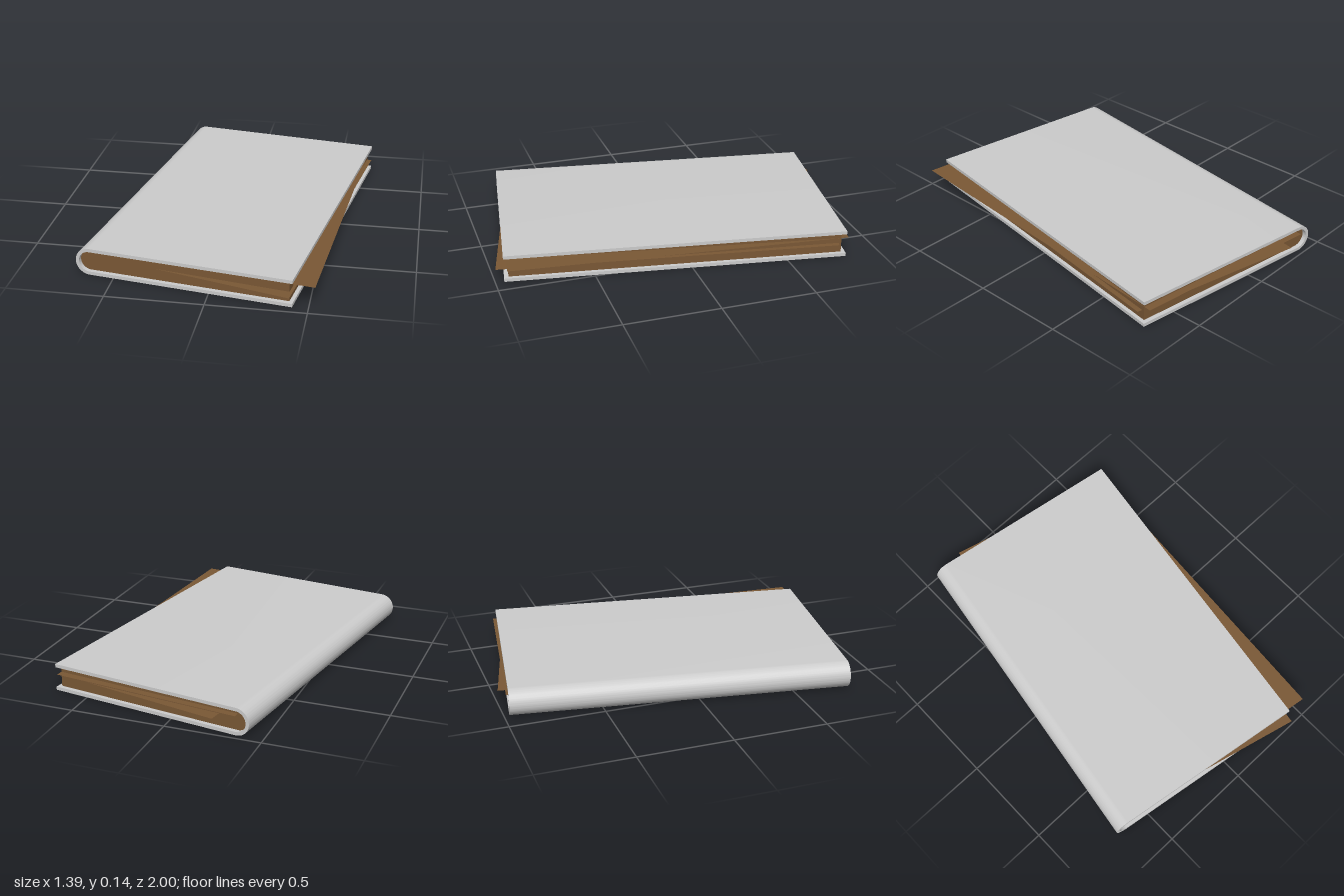
import * as THREE from 'three';
import { toCreasedNormals } from 'three/addons/utils/BufferGeometryUtils.js';

const HALF_W = 0.5665, HALF_L = 0.8925; // cover half width and half length
const R = 0.0725, T = 0.018; // spine outer radius and cover thickness

// Extrude a cross-section evenly about z = 0
function slab(shape, halfLength) {
  const geo = new THREE.ExtrudeGeometry(shape, {
    depth: halfLength * 2, bevelEnabled: false, curveSegments: 28,
  });
  geo.translate(0, 0, -halfLength);
  return toCreasedNormals(geo, 0.5);
}

// Thin four-cornered sheet: front left, front right, back right, back left
function sheet(corners) {
  const geo = new THREE.BufferGeometry();
  geo.setAttribute('position', new THREE.Float32BufferAttribute(corners.flat(), 3));
  geo.setIndex([0, 1, 2, 0, 2, 3]);
  geo.computeVertexNormals();
  return geo;
}

export function createModel() {
  const group = new THREE.Group();
  const coverGrey = new THREE.MeshStandardMaterial({ color: 0xcccccc });
  coverGrey.name = 'cover grey';
  const paperBrown = new THREE.MeshStandardMaterial({ color: 0x7a5835, side: THREE.DoubleSide });
  paperBrown.name = 'paper brown';

  const add = (parent, name, geo, mat) => {
    const mesh = new THREE.Mesh(geo, mat);
    mesh.name = name;
    parent.add(mesh);
  };

  // Closed book, turned slightly on the ground
  const book = new THREE.Group();
  book.name = 'book';
  book.position.set(-0.005, 0, -0.0125);
  book.rotation.y = -0.151;
  group.add(book);

  // Cover: two boards joined by a half-round spine
  const cx = -HALF_W + R, r = R - T;
  const cover = new THREE.Shape();
  cover.moveTo(HALF_W, 0);
  cover.lineTo(HALF_W, T);
  cover.lineTo(cx, T);
  cover.absarc(cx, R, r, -Math.PI / 2, -Math.PI * 1.5, true);
  cover.lineTo(HALF_W, 2 * R - T);
  cover.lineTo(HALF_W, 2 * R);
  cover.lineTo(cx, 2 * R);
  cover.absarc(cx, R, R, Math.PI / 2, Math.PI * 1.5, false);
  cover.lineTo(HALF_W, 0);
  add(book, 'cover', slab(cover, HALF_L), coverGrey);

  // Page block, rounded to sit in the spine and set back from the edges
  const pr = r - 0.0005;
  const pages = new THREE.Shape();
  pages.moveTo(0.547, R - pr);
  pages.lineTo(0.547, R + pr);
  pages.lineTo(cx, R + pr);
  pages.absarc(cx, R, pr, Math.PI / 2, Math.PI * 1.5, false);
  pages.lineTo(0.547, R - pr);
  add(book, 'pageBlock', slab(pages, 0.87), paperBrown);

  // Loose sheets slipping out of the block
  add(group, 'upperLooseSheet', sheet([
    [-0.50, 0.126, 0.805], [0.53, 0.117, 0.955], [0.67, 0.097, -0.83], [-0.36, 0.106, -0.98],
  ]), paperBrown);
  add(group, 'middleLooseSheet', sheet([
    [-0.53, 0.083, 0.765], [0.41, 0.07, 0.995], [0.69, 0.07, -0.77], [-0.25, 0.083, -1.0],
  ]), paperBrown);

  return group;
}
